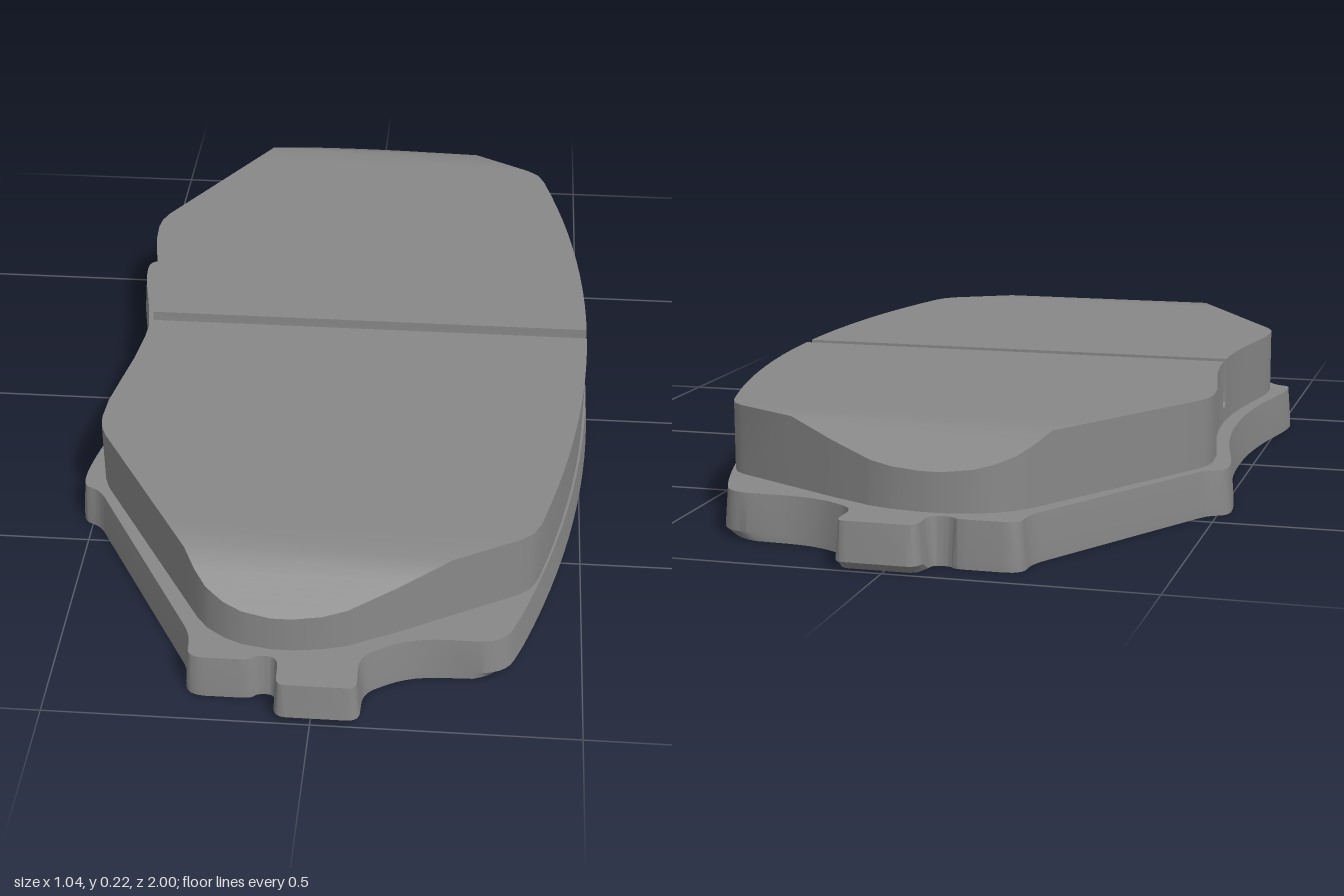
import * as THREE from 'three';
import { toCreasedNormals } from 'three/addons/utils/BufferGeometryUtils.js';

const grey = new THREE.MeshStandardMaterial({ color: 0x888888 });
grey.name = 'steel grey';

const PLATE_TOP = 0.09;
const V = (x, z) => new THREE.Vector2(x, z);

// Outer arc shared by plate and friction pad
const arcX = (z, x0) => x0 - 2.36 + Math.sqrt(2.36 ** 2 - z * z);

// Replace each corner [x, z, r] of a closed outline by a small curve
function roundOutline(corners) {
  const out = [];
  const n = corners.length;
  corners.forEach(([x, z, r], i) => {
    const p = V(x, z);
    if (!r) return out.push(p);
    const toward = ([qx, qz]) => {
      const d = V(qx, qz).sub(p);
      return p.clone().addScaledVector(d, Math.min(r / d.length(), 0.48));
    };
    const a = toward(corners[(i + n - 1) % n]), b = toward(corners[(i + 1) % n]);
    out.push(...new THREE.QuadraticBezierCurve(a, p, b).getPoints(6));
  });
  return out;
}

// Move each outline point inward by the amount rule(p)
function inset(pts, rule) {
  const n = pts.length;
  return pts.map((p, i) => {
    const t = pts[(i + 1) % n].clone().sub(pts[(i + n - 1) % n]).normalize();
    return V(p.x - t.y * rule(p), p.y + t.x * rule(p));
  });
}

function geometryFrom(positions, crease = 0.5) {
  const g = new THREE.BufferGeometry();
  g.setAttribute('position', new THREE.Float32BufferAttribute(positions, 3));
  return toCreasedNormals(g, crease);
}

const quad = (out, a, b, c, d) => out.push(...a, ...b, ...c, ...a, ...c, ...d);

function addMesh(group, geometry, name) {
  const m = new THREE.Mesh(geometry, grey);
  m.name = name;
  group.add(m);
  return m;
}

function makeBackingPlate() {
  const plate = new THREE.Group();
  plate.name = 'backingPlate';

  // Half outline from the middle of the arc round one end to the hollow side
  const half = [];
  for (let i = 0; i <= 14; i++) half.push([arcX(i * 0.055, 0.518), i * 0.055, 0]);
  half.push(
    [0.355, 0.855, 0.06], [0.18, 0.855, 0.07], [0.09, 0.91, 0.03],
    [0.092, 1, 0.025], [-0.068, 1, 0.025], [-0.07, 0.925, 0.02],
    [-0.105, 0.925, 0.02], [-0.115, 0.938, 0.02], [-0.24, 0.938, 0.04],
    [-0.24, 0.875, 0.03], [-0.483, 0.455, 0.025], [-0.522, 0.44, 0.03],
    [-0.522, 0.375, 0.06], [-0.485, 0.2, 0.1], [-0.472, 0.07, 0.05]);
  const mirrored = half.slice(1).reverse().map(([x, z, r]) => [x, -z, r]);
  const outline = roundOutline([...half, ...mirrored]);

  // Drafted walls, with a bottom chamfer on the arc and the end tabs
  const chamfer = (p) => 0.018 * Math.max(
    THREE.MathUtils.smoothstep(p.x, 0.28, 0.36),
    THREE.MathUtils.smoothstep(Math.abs(p.y), 0.96, 0.99));
  const top = inset(outline, () => 0.006);
  const bottom = inset(outline, chamfer);
  const levels = [[bottom, 0], [outline, 0.016], [top, PLATE_TOP]];
  const wall = [];
  for (let l = 0; l < 2; l++) {
    const [lo, y0] = levels[l], [hi, y1] = levels[l + 1];
    lo.forEach((p, i) => {
      const j = (i + 1) % lo.length;
      quad(wall, [p.x, y0, p.y], [hi[i].x, y1, hi[i].y],
        [hi[j].x, y1, hi[j].y], [lo[j].x, y0, lo[j].y]);
    });
  }
  addMesh(plate, geometryFrom(wall), 'plateEdge');
  addMesh(plate, new THREE.ShapeGeometry(new THREE.Shape(top))
    .rotateX(-Math.PI / 2).translate(0, PLATE_TOP, 0), 'plateTop');

  // Underside with two round pressed dimples
  const under = new THREE.Shape(bottom);
  const dimple = [[0, 0.05], [0.085, 0.05], [0.115, 0.045], [0.132, 0.03],
    [0.145, 0.01], [0.165, 0]].map(([r, y]) => V(r, y));
  for (const z of [-0.6, 0.6]) {
    under.holes.push(new THREE.Path().absarc(0.04, z, 0.165, 0, Math.PI * 2, true));
    addMesh(plate, new THREE.LatheGeometry(dimple, 48), 'dimple').position.set(0.04, 0, z);
  }
  addMesh(plate, new THREE.ShapeGeometry(under, 24).rotateX(Math.PI / 2), 'plateUnderside');
  return plate;
}

// Linear interpolation of x in a list of [z, x]
function xAt(table, z) {
  const i = Math.max(1, table.findIndex(([tz]) => tz >= z));
  const [z0, x0] = table[i - 1], [z1, x1] = table[i];
  return x0 + (x1 - x0) * (z - z0) / (z1 - z0);
}

function makeFrictionPad() {
  const hollowSide = [[0, -0.435], [0.08, -0.438], [0.16, -0.447], [0.25, -0.463],
    [0.32, -0.475], [0.38, -0.478], [0.41, -0.474], [0.44, -0.462],
    [0.82, -0.229], [0.85, -0.205], [0.875, -0.17], [0.89, -0.135], [0.9, -0.08]];
  const arcEnd = [[0.66, arcX(0.66, 0.507)], [0.69, 0.398], [0.71, 0.375],
    [0.835, 0.15], [0.86, 0.1], [0.88, 0.06], [0.893, 0.015], [0.9, -0.04]];
  const rightX = (z) => (z <= 0.66 ? arcX(z, 0.507) : xAt(arcEnd, z));

  // Top height: round-bottomed slot in the middle, ramps at both ends
  const w = 0.016;
  const height = (z) => {
    if (z < w) return 0.136 - Math.sqrt(w * w - z * z);
    return z > 0.78 ? 0.225 - (z - 0.78) * 0.5 : 0.225;
  };

  // Cross-sections along z, mirrored about the slot
  const zs = new Set([0.005, 0.01, 0.014, w - 0.0001, w, 0.78]);
  for (const [z] of [...hollowSide, ...arcEnd]) zs.add(z);
  for (let z = 0.06; z < 0.66; z += 0.06) zs.add(z);
  const halfZ = [...zs].sort((a, b) => a - b);
  const stations = [...halfZ.slice(1).reverse().map((z) => -z), ...halfZ];
  const sections = stations.map((z) => {
    const a = Math.abs(z), h = height(a);
    const l = xAt(hollowSide, a), r = rightX(a);
    return [[l, PLATE_TOP, z], [l, h, z], [r, h, z], [r, PLATE_TOP, z]];
  });
  const pos = [];
  for (let i = 0; i < sections.length - 1; i++) {
    const s = sections[i], t = sections[i + 1];
    for (let k = 0; k < 3; k++) quad(pos, s[k], t[k], t[k + 1], s[k + 1]);
  }
  // End faces
  const a = sections[0], b = sections[sections.length - 1];
  quad(pos, a[0], a[1], a[2], a[3]);
  quad(pos, b[3], b[2], b[1], b[0]);
  return geometryFrom(pos, 0.6);
}

export function createModel() {
  const model = new THREE.Group();
  model.name = 'brakePad';
  model.add(makeBackingPlate());
  addMesh(model, makeFrictionPad(), 'frictionPad');
  return model;
}
